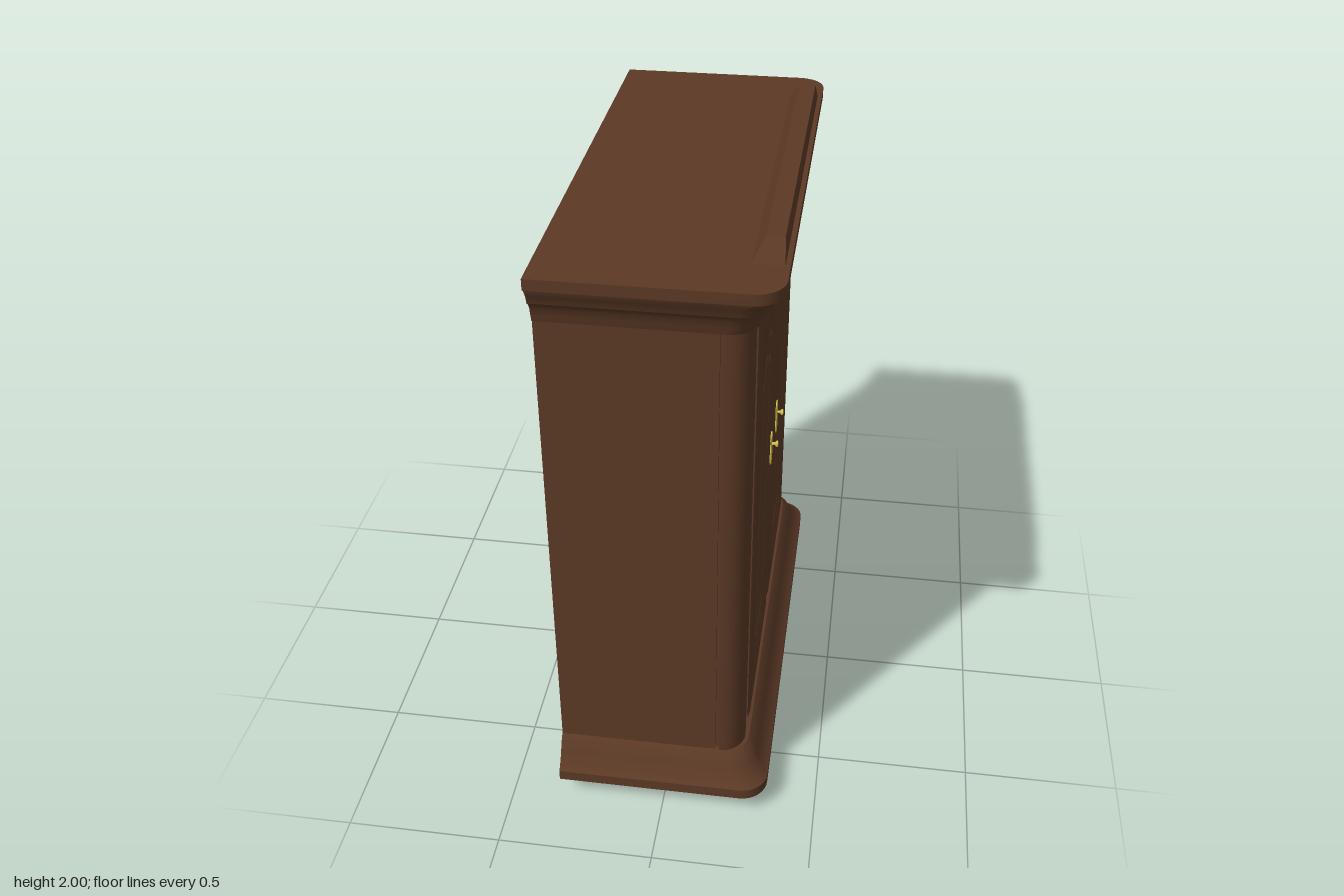
import * as THREE from 'three';
import { toCreasedNormals } from 'three/addons/utils/BufferGeometryUtils.js';

const wood = new THREE.MeshStandardMaterial({ color: 0x5c3a26, side: THREE.DoubleSide });
const brass = new THREE.MeshStandardMaterial({ color: 0xd8c04c });
const BACK = -0.342, SIDE = 0.71, FRONT = 0.265;

function add(parent, name, geometry, material = wood) {
  const mesh = new THREE.Mesh(toCreasedNormals(geometry, 0.5), material);
  mesh.name = name;
  parent.add(mesh);
  return mesh;
}

// Half outline on the +z side, completed by mirroring; open at the back
const mirrored = half => [...half, ...half.map(([x, z]) => [x, -z]).reverse()];

function corner(cx, cz, r, n = 8) {
  return Array.from({ length: n + 1 }, (_, i) => {
    const a = (i / n) * Math.PI / 2;
    return [cx + r * Math.sin(a), cz + r * Math.cos(a)];
  });
}

const outline = o => mirrored([[BACK, SIDE + o], ...corner(FRONT + o - 0.085, SIDE + o - 0.085, 0.085)]);

// Skin between stacked outlines; each row is [y, points]
function shell(rows) {
  const pos = [], index = [], n = rows[0][1].length;
  rows.forEach(([y, pts]) => pts.forEach(([x, z]) => pos.push(x, y, z)));
  for (let r = 0; r < rows.length - 1; r++) {
    for (let i = 0; i < n - 1; i++) {
      const a = r * n + i, b = a + 1, c = a + n, d = c + 1;
      index.push(a, b, d, a, d, c);
    }
  }
  const g = new THREE.BufferGeometry();
  g.setAttribute('position', new THREE.Float32BufferAttribute(pos, 3));
  g.setIndex(index);
  return g;
}

const trim = profile => shell(profile.map(([y, o]) => [y, outline(o)]));

// Flat board with the cornice outline
function board(o, y) {
  const shape = new THREE.Shape(outline(o).map(([x, z]) => new THREE.Vector2(x, -z)));
  return new THREE.ShapeGeometry(shape).rotateX(-Math.PI / 2).translate(0, y, 0);
}

// Panel outline with square shoulders and a raised arch
function arch(hw, bottom, shoulder, arcHw, top) {
  const s = new THREE.Shape(), spring = shoulder + 0.015;
  s.moveTo(-hw, bottom);
  s.lineTo(hw, bottom);
  s.lineTo(hw, shoulder);
  s.lineTo(arcHw, shoulder);
  s.lineTo(arcHw, spring);
  s.absellipse(0, spring, arcHw, top - spring, 0, Math.PI, false);
  s.lineTo(-arcHw, shoulder);
  s.lineTo(-hw, shoulder);
  s.closePath();
  return s;
}

// Extrude a front-facing shape towards +x, from x0 to x1, with bevelled edges
function relief(shape, x0, x1, bevel) {
  const t = (x1 - x0) / 3;
  return new THREE.ExtrudeGeometry(shape, {
    depth: t, bevelThickness: t, bevelSize: bevel, bevelOffset: -bevel,
    bevelSegments: 1, curveSegments: 14,
  }).rotateY(Math.PI / 2).translate(x0 + t, 0, 0);
}

function makeDoor() {
  const door = new THREE.Group();
  door.name = 'door';

  const frame = new THREE.Shape([[-0.285, 0.25], [0.285, 0.25], [0.285, 1.745], [-0.285, 1.745]]
    .map(p => new THREE.Vector2(...p)));
  frame.holes.push(arch(0.151, 0.382, 1.498, 0.09, 1.563));
  add(door, 'doorFrame', relief(frame, 0.246, 0.265, 0.013));

  const moulding = arch(0.148, 0.385, 1.495, 0.087, 1.56);
  moulding.holes.push(arch(0.109, 0.445, 1.422, 0.068, 1.473));
  add(door, 'panelMoulding', relief(moulding, 0.246, 0.262, 0.005));

  add(door, 'innerPanel', relief(arch(0.105, 0.449, 1.418, 0.064, 1.469), 0.246, 0.262, 0.006));
  return door;
}

function makeHandle() {
  const handle = new THREE.Group();
  handle.name = 'handle';
  const half = [[0.012, 0.937], [0.024, 0.952], [0.026, 0.97], [0.017, 0.995],
    [0.015, 1.02], [0.023, 1.04], [0.018, 1.052]];
  const pts = [[0, 0.93], ...half, [0, 1.062], ...half.map(([x, y]) => [-x, y]).reverse()];
  const plate = new THREE.Shape(pts.map(p => new THREE.Vector2(...p)));
  add(handle, 'handlePlate', relief(plate, 0.264, 0.27, 0.003), brass);

  // Turned knob
  const profile = [[0.005, 0], [0.005, 0.012], [0.011, 0.016], [0.011, 0.021], [0, 0.024]]
    .map(p => new THREE.Vector2(...p));
  add(handle, 'knob', new THREE.LatheGeometry(profile, 10)
    .rotateZ(-Math.PI / 2).translate(0.268, 1.015, 0), brass);
  return handle;
}

export function createModel() {
  const cabinet = new THREE.Group();
  cabinet.name = 'cabinet';

  // Walls: sides, grooved quarter-round corner columns and flat front
  const wall = mirrored([[BACK, SIDE], [0.167, SIDE], [0.167, 0.7], [0.178, 0.7],
    ...corner(0.178, 0.633, 0.08), [0.245, 0.633], [0.245, 0.622]]);
  add(cabinet, 'walls', shell([[0.2, wall], [1.79, wall]]));

  // Plinth and cornice mouldings
  add(cabinet, 'plinth', trim([[0.075, 0.075], [0.112, 0.075], [0.122, 0.062], [0.145, 0.046],
    [0.165, 0.034], [0.19, 0.024], [0.212, 0.005], [0.217, -0.022]]));
  add(cabinet, 'cornice', trim([[1.775, -0.022], [1.778, 0.004], [1.8, 0.01], [1.825, 0.016],
    [1.838, 0.024], [1.85, 0.038], [1.875, 0.046], [1.895, 0.06], [1.905, 0.062],
    [1.908, 0.075], [1.942, 0.075]]));
  add(cabinet, 'floor', board(0.075, 0.075));
  add(cabinet, 'top', board(0.075, 1.942));

  // Crest rail along the front of the top, sloped at the back and ends
  const crest = new THREE.BoxGeometry(1, 1, 1);
  const p = crest.attributes.position;
  for (let i = 0; i < p.count; i++) {
    const up = p.getY(i) > 0;
    const x = p.getX(i) > 0 ? (up ? 0.32 : 0.326) : (up ? 0.268 : 0.235);
    p.setXYZ(i, x, up ? 2 : 1.942, Math.sign(p.getZ(i)) * (up ? 0.565 : 0.618));
  }
  add(cabinet, 'crestRail', crest);

  // Doors, handles and hollow round feet, mirrored about the middle
  for (const s of [1, -1]) {
    const door = makeDoor();
    door.position.z = s * 0.305;
    cabinet.add(door);

    const handle = makeHandle();
    handle.position.z = s * 0.096;
    cabinet.add(handle);

    for (const x of [-0.175, 0.23]) {
      const foot = add(cabinet, 'foot', new THREE.CylinderGeometry(0.088, 0.088, 0.09, 20, 1, true));
      foot.position.set(x, 0.045, s * 0.622);
    }
  }
  return cabinet;
}
